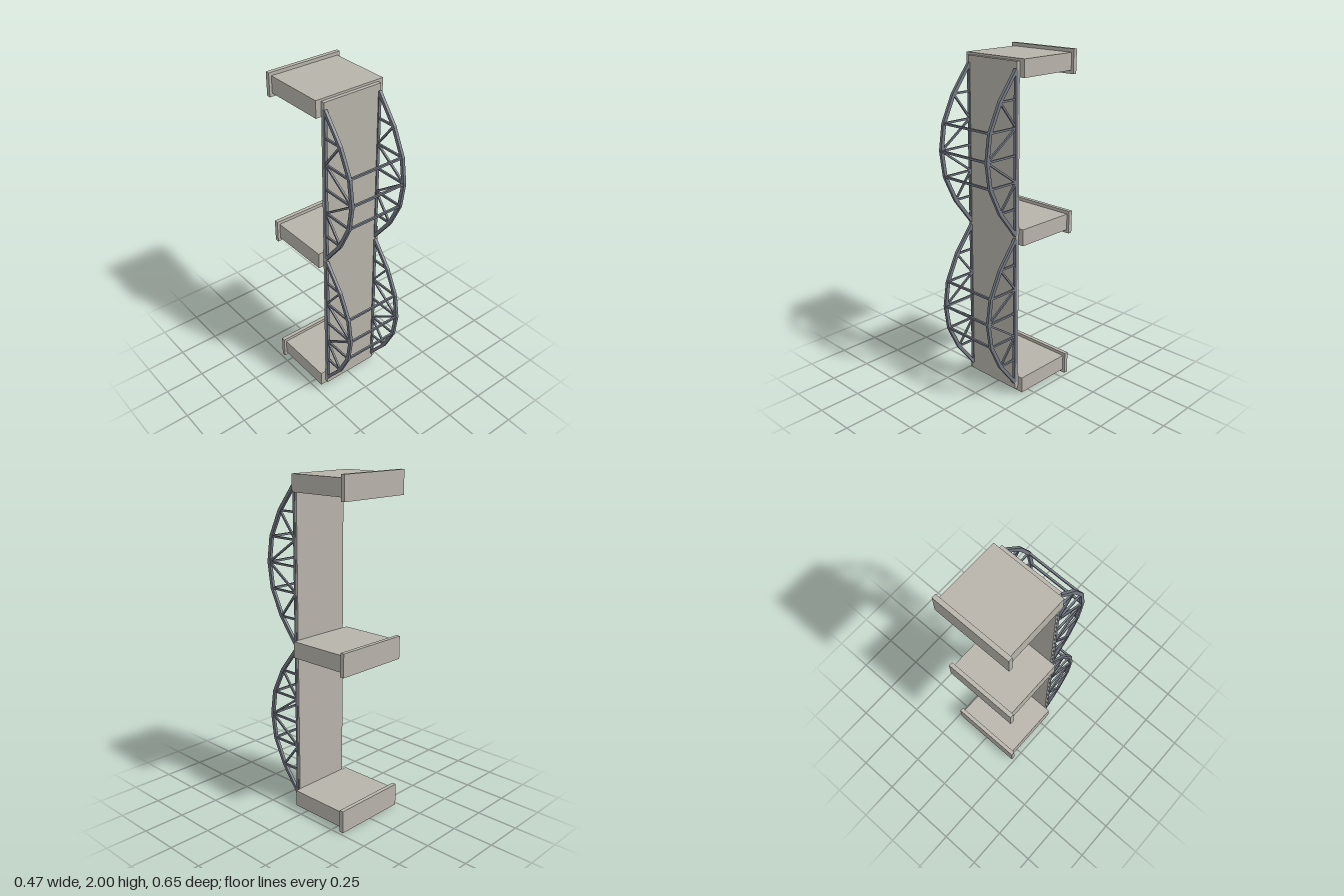
import * as THREE from 'three';

const concrete = new THREE.MeshStandardMaterial({ color: 0xb7b3aa });
concrete.name = 'concrete';
const steel = new THREE.MeshStandardMaterial({ color: 0x727882 });
steel.name = 'steel';

// Arch nodes of one span as [z, y offset from mid-span]
const CHORD_Z = 0.095;
const NODES = [
  [CHORD_Z, -0.455], [0.215, -0.302], [0.289, -0.15], [0.311, 0],
  [0.289, 0.15], [0.215, 0.302], [CHORD_Z, 0.455],
];
const TRUSS_X = 0.177;

function box(name, material, size, position) {
  const mesh = new THREE.Mesh(new THREE.BoxGeometry(...size), material);
  mesh.name = name;
  mesh.position.set(...position);
  return mesh;
}

// Square bar between two [z, y] points
function bar(name, a, b, thickness) {
  const dz = b[0] - a[0], dy = b[1] - a[1];
  const mesh = box(name, steel, [thickness, Math.hypot(dz, dy), thickness],
    [0, (a[1] + b[1]) / 2, (a[0] + b[0]) / 2]);
  mesh.rotation.x = Math.atan2(dz, dy);
  return mesh;
}

// Mitred band that follows the arch nodes
function archGeometry(width, depth) {
  const pts = NODES.map((p) => new THREE.Vector2(...p));
  const outer = [], inner = [];
  pts.forEach((p, i) => {
    const d1 = pts[Math.max(i, 1)].clone().sub(pts[Math.max(i, 1) - 1]).normalize();
    const j = Math.min(i, pts.length - 2);
    const d2 = pts[j + 1].clone().sub(pts[j]).normalize();
    const n1 = new THREE.Vector2(d1.y, -d1.x);
    const n = n1.clone().add(new THREE.Vector2(d2.y, -d2.x)).normalize();
    n.multiplyScalar(depth / 2 / n.dot(n1));
    outer.push(p.clone().add(n));
    inner.push(p.clone().sub(n));
  });
  const shape = new THREE.Shape([...outer, ...inner.reverse()]);
  return new THREE.ExtrudeGeometry(shape, { depth: width, bevelEnabled: false })
    .translate(0, 0, -width / 2)
    .rotateY(-Math.PI / 2);
}

function makeTruss() {
  const truss = new THREE.Group();
  truss.name = 'truss';
  const arch = new THREE.Mesh(archGeometry(0.017, 0.02), steel);
  arch.name = 'archChord';
  truss.add(arch);
  truss.add(box('straightChord', steel, [0.017, 0.91, 0.017], [0, 0, CHORD_Z]));
  for (let i = 1; i < 6; i++) {
    truss.add(bar('post', [CHORD_Z, NODES[i][1]], NODES[i], 0.011));
  }
  // Diagonals meet the straight chord at the second and fourth posts
  for (const [from, to] of [[1, 2], [3, 2], [3, 4], [5, 4]]) {
    truss.add(bar('diagonal', NODES[from], [CHORD_Z, NODES[to][1]], 0.011));
  }
  return truss;
}

export function createModel() {
  const model = new THREE.Group();
  model.name = 'trussBridge';

  // Deck
  model.add(box('deck', concrete, [0.368, 1.93, 0.022], [0, 1.003, 0.086]));

  // Piers with wider footings
  for (const y of [0.068, 1.003, 1.932]) {
    const pier = new THREE.Group();
    pier.name = 'pier';
    pier.position.y = y;
    pier.add(box('pierBody', concrete, [0.434, 0.097, 0.375], [0, 0, -0.1125]));
    pier.add(box('footing', concrete, [0.466, 0.136, 0.025], [0, 0, -0.3125]));
    model.add(pier);
  }

  // Two spans, each with a pair of trusses and three cross braces
  for (const y of [0.537, 1.47]) {
    const span = new THREE.Group();
    span.name = 'span';
    span.position.y = y;
    for (const side of [-1, 1]) {
      const truss = makeTruss();
      truss.position.x = side * TRUSS_X;
      span.add(truss);
    }
    for (const i of [2, 3, 4]) {
      const [z, dy] = NODES[i];
      span.add(box('crossBrace', steel, [TRUSS_X * 2, 0.012, 0.012], [0, dy, z]));
    }
    model.add(span);
  }
  return model;
}
